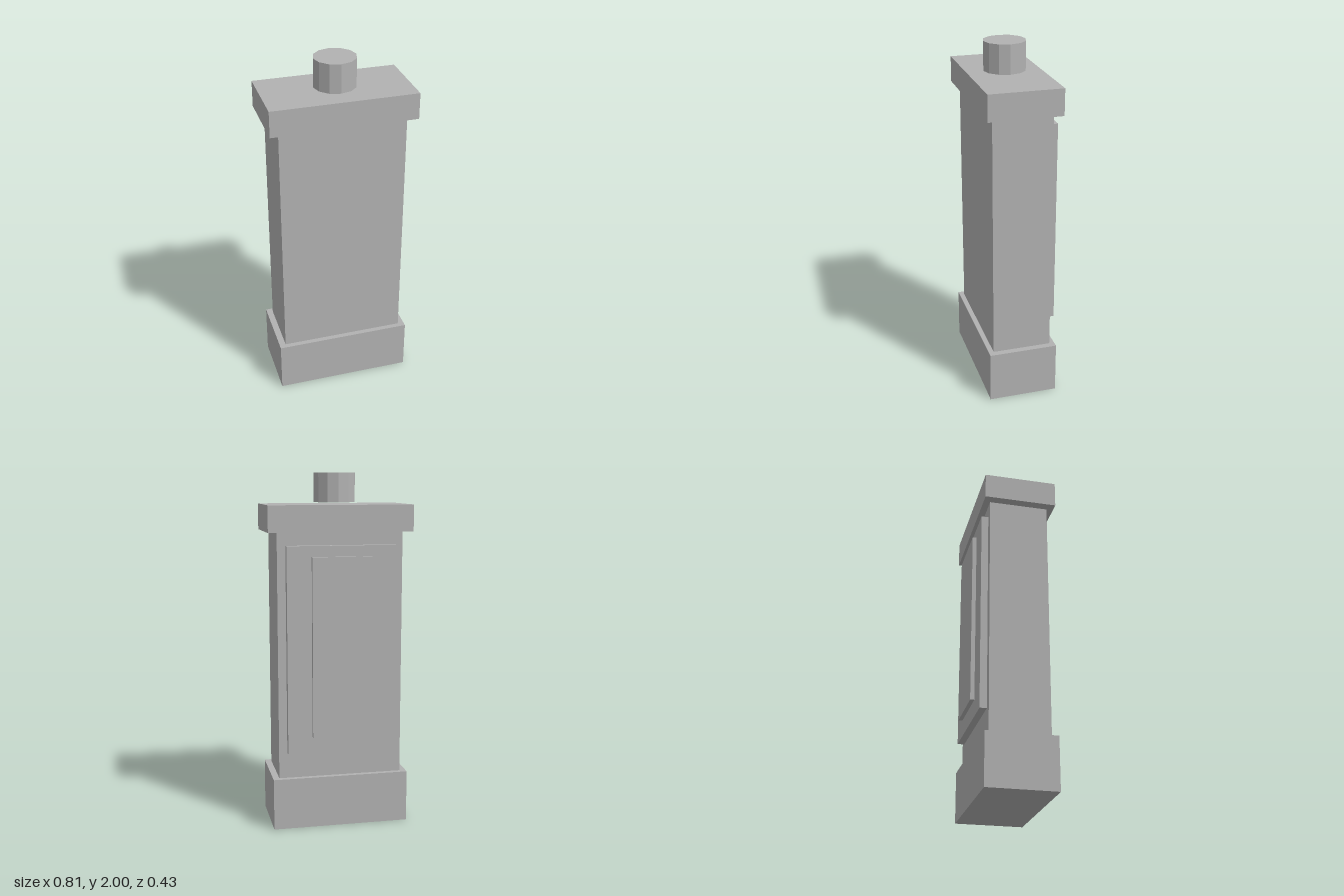
import * as THREE from 'three';

export function createModel() {
  const model = new THREE.Group();
  model.name = 'pillar';
  const stone = new THREE.MeshStandardMaterial({ color: 0xb2b2b2 });
  stone.name = 'grey stone';
  stone.flatShading = true;

  const zMid = 0.012; // the column sits slightly forward of the back panels

  function add(name, geometry, y, z) {
    const mesh = new THREE.Mesh(geometry, stone);
    mesh.name = name;
    mesh.position.set(0, y, z);
    model.add(mesh);
  }

  // Box spanning y0..y1 and z0..z1, centred on x
  function block(name, width, y0, y1, z0, z1) {
    add(name, new THREE.BoxGeometry(width, y1 - y0, z1 - z0), (y0 + y1) / 2, (z0 + z1) / 2);
  }

  // Column: plinth, shaft and overhanging cap
  block('plinth', 0.778, 0, 0.294, zMid - 0.196, zMid + 0.196);
  block('shaft', 0.706, 0.294, 1.68, zMid - 0.167, zMid + 0.167);
  block('cap', 0.811, 1.68, 1.827, zMid - 0.205, zMid + 0.205);

  // Stepped panels on the back
  block('outerPanel', 0.612, 0.443, 1.608, -0.194, -0.155);
  block('innerPanel', 0.336, 0.538, 1.548, -0.217, -0.194);

  // Round finial, floating just above the cap
  add('finial', new THREE.CylinderGeometry(0.118, 0.118, 0.162, 12), 1.919, zMid);

  return model;
}
